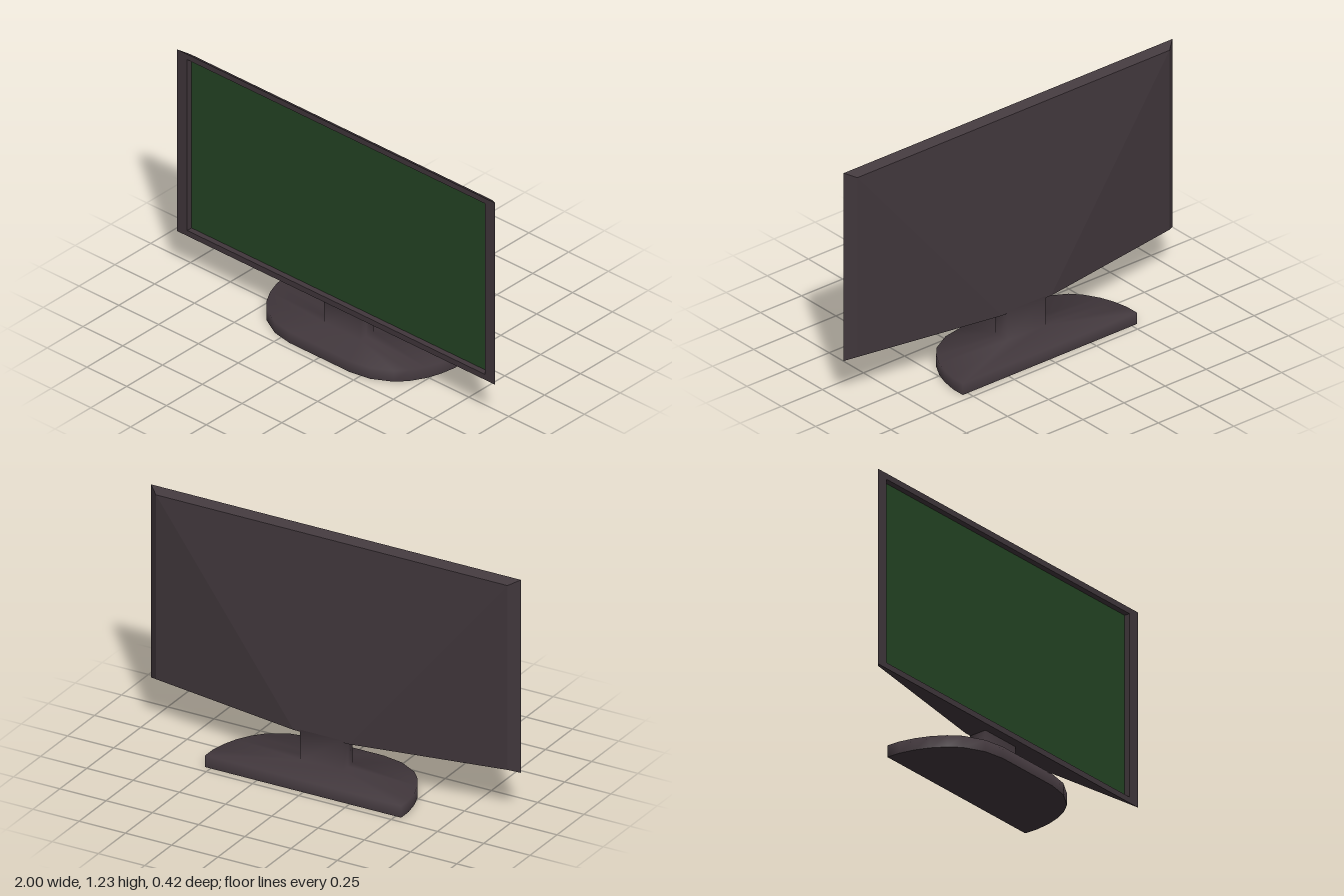
import * as THREE from 'three';
import { mergeVertices } from 'three/addons/utils/BufferGeometryUtils.js';

const casing = new THREE.MeshStandardMaterial({ color: 0x40363b });
casing.name = 'dark casing';
const green = new THREE.MeshStandardMaterial({ color: 0x244424 });
green.name = 'green screen';

// Geometry from a list of quads, corners counter-clockwise from outside
function fromQuads(quads) {
  const pos = [];
  for (const [a, b, c, d] of quads) pos.push(...a, ...b, ...c, ...a, ...c, ...d);
  const geo = new THREE.BufferGeometry();
  geo.setAttribute('position', new THREE.Float32BufferAttribute(pos, 3));
  return geo;
}

function addMesh(group, name, geo, material) {
  const mesh = new THREE.Mesh(geo, material);
  mesh.name = name;
  group.add(mesh);
  return mesh;
}

const rectPoints = (x, y0, y1) => [[-x, y0], [x, y0], [x, y1], [-x, y1]];
const FRONT = 0.095, RECESS = 0.065;
const outer = rectPoints(1, 0.22, 1.225);
const inner = rectPoints(0.935, 0.25, 1.195);

// Back shell: four cross-sections along x, bulging backwards at the bottom middle
function shellGeometry() {
  const columns = [[-1, -0.95], [-0.15, -0.15], [0.15, 0.15], [1, 0.95]].map(([xf, xb], i) => {
    const mid = i === 1 || i === 2;
    return [
      [xf, 1.225, FRONT],
      [xb, 1.2, 0.055],
      [xb, mid ? 0.215 : 0.24, mid ? -0.04 : 0.055],
      [xf, 0.22, FRONT],
    ];
  });
  const quads = [columns[0], [...columns[3]].reverse()];
  for (let i = 0; i < 3; i++) {
    const p = columns[i], q = columns[i + 1];
    for (let j = 0; j < 3; j++) {
      const quad = [p[j], q[j], q[j + 1], p[j + 1]];
      // turn the diagonal on the mirrored side
      if (i === 2) quad.push(quad.shift());
      quads.push(quad);
    }
  }
  const geo = fromQuads(quads);
  geo.computeVertexNormals();
  return geo;
}

// Front frame with the walls of the screen recess
function bezelGeometry() {
  const quads = [];
  for (let i = 0; i < 4; i++) {
    const j = (i + 1) % 4;
    quads.push([[...outer[i], FRONT], [...outer[j], FRONT], [...inner[j], FRONT], [...inner[i], FRONT]]);
    quads.push([[...inner[i], FRONT], [...inner[j], FRONT], [...inner[j], RECESS], [...inner[i], RECESS]]);
  }
  const geo = fromQuads(quads);
  geo.computeVertexNormals();
  return geo;
}

// Plan of the foot: straight at the back, rounded at the front (x, z)
const halfPlan = [[0.53, -0.21], [0.53, -0.14], [0.515, -0.06], [0.49, 0.01], [0.45, 0.08],
  [0.4, 0.135], [0.3, 0.19], [0.19, 0.21]];
const plan = [...halfPlan.map(([x, z]) => [-x, z]), ...[...halfPlan].reverse()];

// Foot rising gently into a rectangular neck, lofted as one smooth skin
function standGeometry() {
  const { clamp } = THREE.MathUtils;
  const neck = plan.map(([x, z]) => [clamp(x, -0.115, 0.115), clamp(z, -0.04, 0.05)]);
  const rings = [[plan, 0], [plan, 0.06], [neck, 0.07], [neck, 0.225]]
    .map(([pts, y]) => pts.map(([x, z]) => [x, y, z]));
  const quads = [];
  for (let k = 0; k < rings.length - 1; k++) {
    for (let i = 0; i < plan.length; i++) {
      const j = (i + 1) % plan.length;
      quads.push([rings[k][i], rings[k][j], rings[k + 1][j], rings[k + 1][i]]);
    }
  }
  const geo = mergeVertices(fromQuads(quads));
  geo.computeVertexNormals();
  return geo;
}

export function createModel() {
  const group = new THREE.Group();
  group.name = 'monitor';

  addMesh(group, 'backShell', shellGeometry(), casing);
  addMesh(group, 'bezel', bezelGeometry(), casing);

  // Recessed screen
  const screen = addMesh(group, 'screen', new THREE.PlaneGeometry(1.87, 0.945), green);
  screen.position.set(0, 0.7225, RECESS);

  addMesh(group, 'stand', standGeometry(), casing);

  // Flat underside of the foot
  const shape = new THREE.Shape(plan.map(([x, z]) => new THREE.Vector2(x, z)));
  const underside = addMesh(group, 'footUnderside', new THREE.ShapeGeometry(shape), casing);
  underside.rotation.x = Math.PI / 2;

  return group;
}
